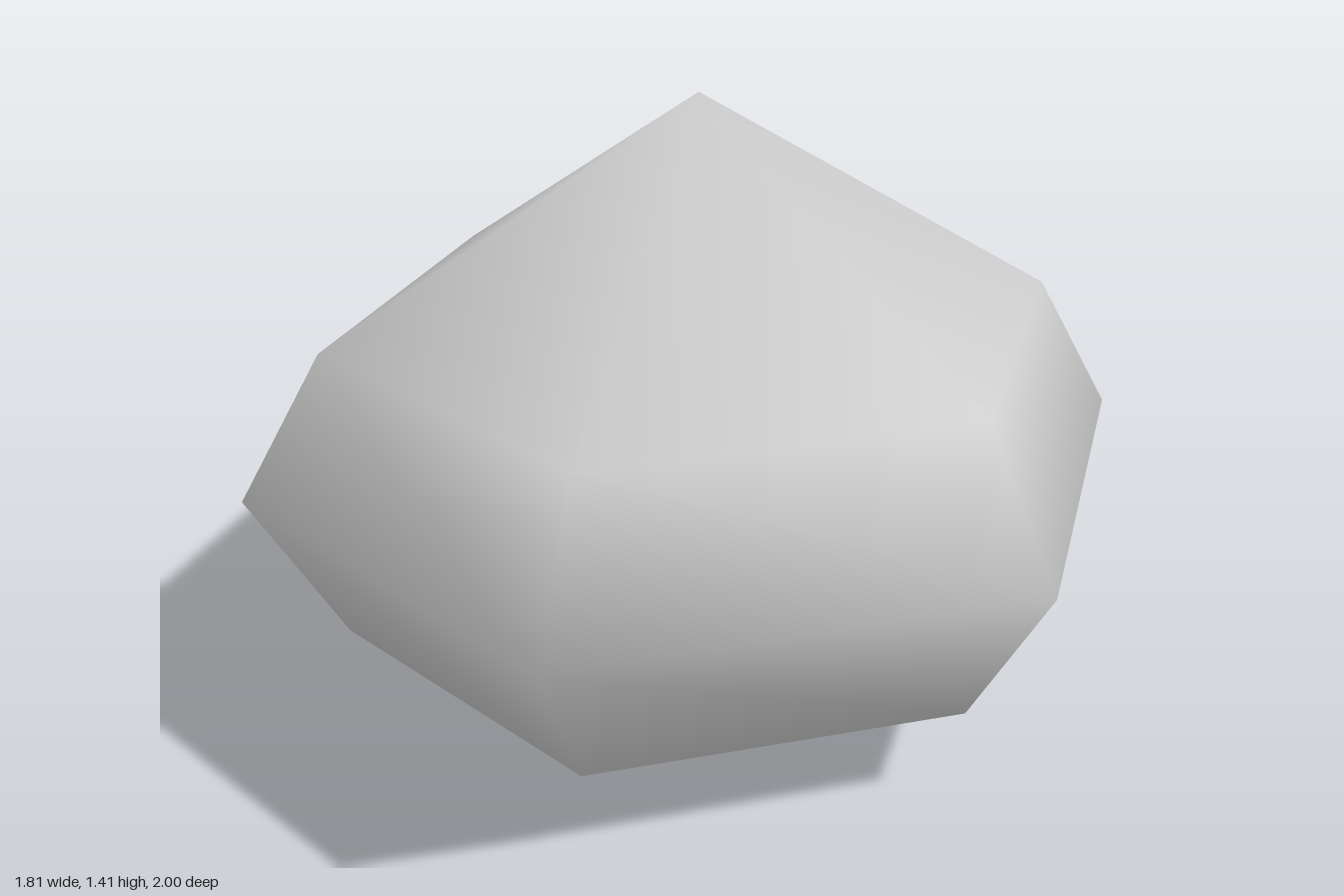
import * as THREE from 'three';
import { mergeVertices } from 'three/addons/utils/BufferGeometryUtils.js';

export function createModel() {
  const stone = new THREE.MeshStandardMaterial({ color: 0xcccccc });
  stone.name = 'pale grey stone';

  // Half outline [radius, height], from the flat base up to the point
  const profile = [
    [0, 0], [0.385, 0], [0.8, 0.215], [1, 0.57], [0.817, 0.897], [0, 1.41],
  ].map(([r, y]) => new THREE.Vector2(r, y));

  // Six-sided turned gem, slightly widened in x, with corners pointing front and back
  const turned = new THREE.LatheGeometry(profile, 6);
  turned.scale(1.047, 1, 1);

  // Weld the seam and poles so the shading flows smoothly over every edge
  turned.deleteAttribute('normal');
  turned.deleteAttribute('uv');
  const geometry = mergeVertices(turned);
  geometry.computeVertexNormals();

  const gem = new THREE.Mesh(geometry, stone);
  gem.name = 'gemStone';

  const model = new THREE.Group();
  model.name = 'hexagonalGem';
  model.add(gem);
  return model;
}
